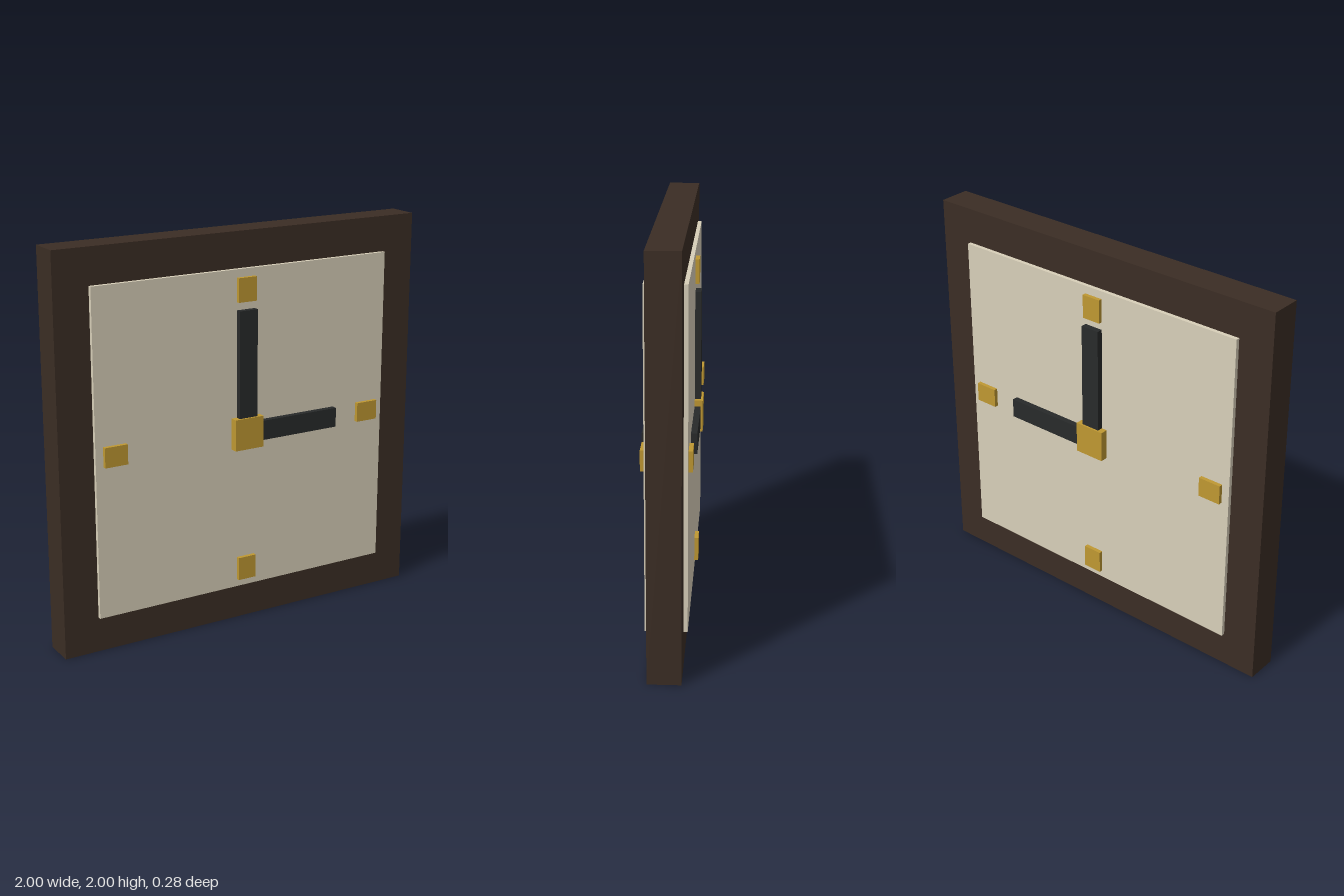
import * as THREE from 'three';

export function createModel() {
  const model = new THREE.Group();
  model.name = 'wallClock';

  const mat = (color) => new THREE.MeshStandardMaterial({ color });
  const wood = mat(0x3b2d24);
  const cream = mat(0xd8cfb9);
  const brass = mat(0xbf9832);
  const black = mat(0x282a2a);

  const box = (name, material, w, h, d, x, y, z) => {
    const mesh = new THREE.Mesh(new THREE.BoxGeometry(w, h, d), material);
    mesh.name = name;
    mesh.position.set(x, y, z);
    model.add(mesh);
  };

  // Square case and the dial panel that stands slightly proud on both sides
  box('frame', wood, 2, 2, 0.16, 0, 1, 0);
  box('dial', cream, 1.64, 1.64, 0.2, 0, 1, 0);

  // Same markers, hands and hub on the front and the back
  for (const side of [1, -1]) {
    const prefix = side > 0 ? 'front' : 'back';
    // Each part is sunk a little into the dial and ends at the given depth
    const raised = (name, material, w, h, x, y, top) =>
      box(prefix + name, material, w, h, top - 0.09, x, y, side * (top + 0.09) / 2);

    // Hour markers
    for (const s of [1, -1]) {
      raised(s > 0 ? 'TopMarker' : 'BottomMarker', brass, 0.1, 0.12, 0, 1 + s * 0.72, 0.12);
      raised(s > 0 ? 'LeftMarker' : 'RightMarker', brass, 0.12, 0.1, s * 0.72, 1, 0.12);
    }

    // Hands, starting under the hub
    raised('MinuteHand', black, 0.1, 0.62, 0, 1.31, 0.13);
    raised('HourHand', black, 0.52, 0.1, 0.26, 1, 0.13);

    // Centre hub
    raised('Hub', brass, 0.16, 0.16, 0, 1, 0.14);
  }

  return model;
}
